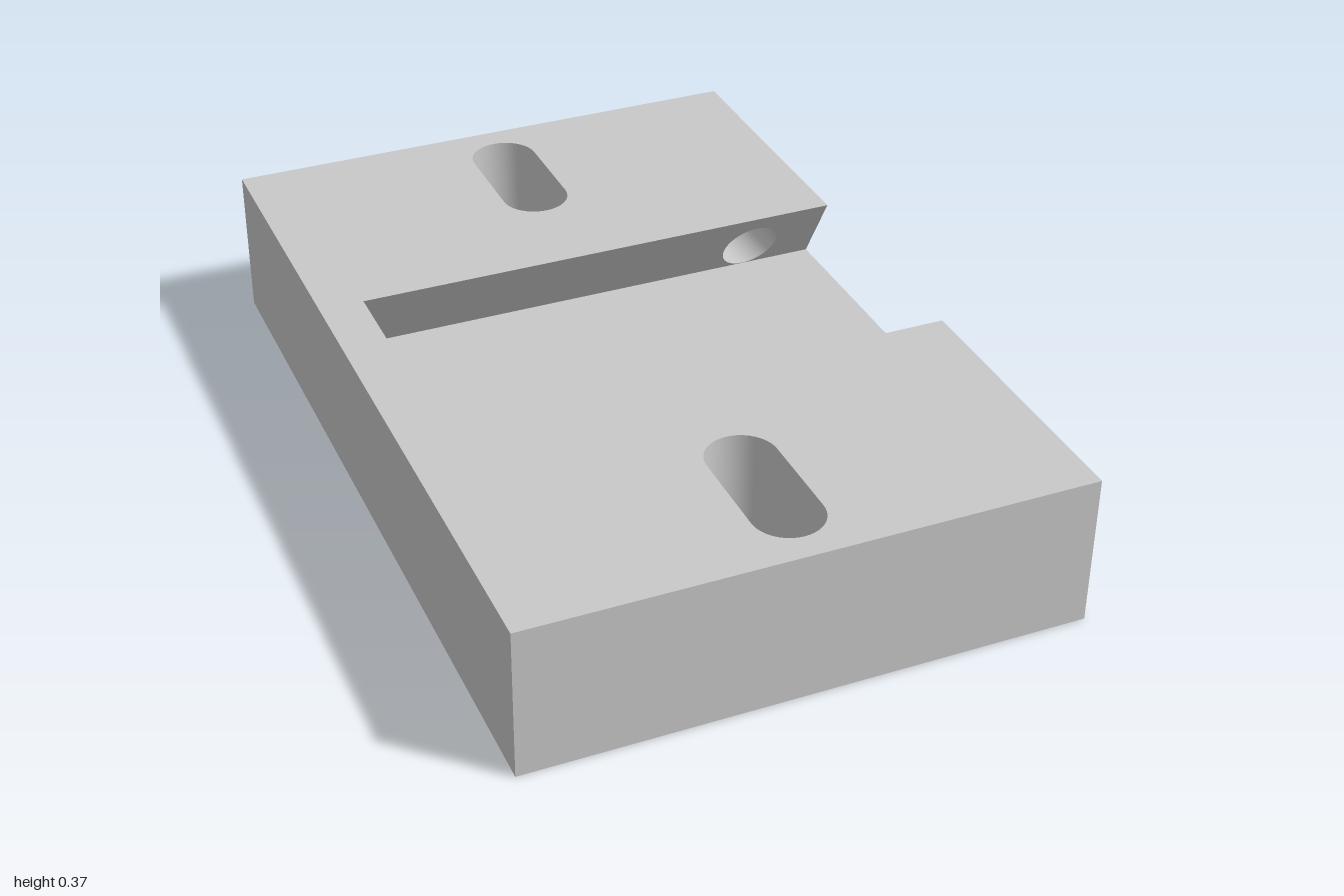
import * as THREE from 'three';

const W = 0.665, H = 0.37, D = 1;              // half width, height, half depth
const FLOOR = 0.185, END = -0.557;             // pocket floor height and closed end
const LIP = 0.30, ROOT = 0.407;                // dovetail half widths at top and floor
const SLOPE = (ROOT - LIP) / (H - FLOOR);
const SLOT_R = 0.083, SLOT_HALF = 0.195;
const SLOTS = [-0.742, 0.74];                  // slot centres along z
const BORE = { x: 0.482, y: 0.258, r: 0.072 };

const V = (x, y, z) => new THREE.Vector3(x, y, z);
const X = V(1, 0, 0), Y = V(0, 1, 0), Z = V(0, 0, 1);
const neg = (v) => v.clone().negate();

// Counter-clockwise outline helpers
const poly = (pts) => pts.map(([a, b]) => new THREE.Vector2(a, b));
const rect = (a0, b0, a1, b1) => poly([[a0, b0], [a1, b0], [a1, b1], [a0, b1]]);

function circle(cx, cy, r, n = 48) {
  return Array.from({ length: n }, (_, i) => {
    const t = (i / n) * Math.PI * 2;
    return new THREE.Vector2(cx + r * Math.cos(t), cy + r * Math.sin(t));
  });
}

function slot(cy) {
  const pts = [], n = 24, c = SLOT_HALF - SLOT_R;
  for (const side of [0, 1]) {
    for (let i = 0; i <= n; i++) {
      const t = (side + i / n) * Math.PI;
      pts.push(new THREE.Vector2(SLOT_R * Math.cos(t), cy + (side ? -c : c) + SLOT_R * Math.sin(t)));
    }
  }
  return pts;
}

// Flat face spanned by u and v, possibly sheared, with holes
function face(outline, origin, u, v, holes = []) {
  const shape = new THREE.Shape(outline);
  shape.holes = holes.map((h) => new THREE.Path(h));
  const n = u.clone().cross(v);
  return new THREE.ShapeGeometry(shape)
    .applyMatrix4(new THREE.Matrix4().makeBasis(u, v, n).setPosition(origin));
}

// Inward-facing wall between the two ends of a hole
function holeWall(outline, nearEnd, farEnd) {
  const pos = [], index = [], n = outline.length;
  for (const p of outline) pos.push(...nearEnd(p), ...farEnd(p));
  for (let i = 0; i < n; i++) {
    const a = 2 * i, b = 2 * ((i + 1) % n);
    index.push(a, b, a + 1, b, b + 1, a + 1);
  }
  const g = new THREE.BufferGeometry();
  g.setAttribute('position', new THREE.Float32BufferAttribute(pos, 3));
  g.setIndex(index);
  g.computeVertexNormals();
  return g;
}

export function createModel() {
  const group = new THREE.Group();
  group.name = 'dovetailBlock';
  const grey = new THREE.MeshStandardMaterial({ color: 0xc8c8c8 });
  grey.name = 'machinedGrey';
  const add = (name, geometry) => {
    const mesh = new THREE.Mesh(geometry, grey);
    mesh.name = name;
    group.add(mesh);
  };

  // Top (open towards +x) and bottom, both pierced by the slots
  const topOutline = poly([[-W, -D], [W, -D], [W, -LIP], [END, -LIP], [END, LIP], [W, LIP], [W, D], [-W, D]]);
  add('top', face(topOutline, V(0, H, 0), X, neg(Z), SLOTS.map((z) => slot(-z))));
  add('bottom', face(rect(-W, -D, W, D), V(0, 0, 0), X, Z, SLOTS.map((z) => slot(z))));

  // Outer sides
  const boreOutline = circle(-BORE.x, BORE.y, BORE.r);
  add('frontSide', face(rect(-W, 0, W, H), V(0, 0, D), X, Y));
  add('backSide', face(rect(-W, 0, W, H), V(0, 0, -D), neg(X), Y, [boreOutline]));
  add('closedSide', face(rect(-D, 0, D, H), V(-W, 0, 0), Z, Y));
  const openOutline = poly([[-D, 0], [D, 0], [D, H], [LIP, H], [ROOT, FLOOR], [-ROOT, FLOOR], [-LIP, H], [-D, H]]);
  add('openSide', face(openOutline, V(W, 0, 0), neg(Z), Y));

  // Dovetail pocket
  const wallZ = (y) => -ROOT + SLOPE * (y - FLOOR);
  add('pocketFloor', face(rect(END, -ROOT, W, ROOT), V(0, FLOOR, 0), X, neg(Z)));
  add('pocketEnd', face(poly([[-ROOT, FLOOR], [ROOT, FLOOR], [LIP, H], [-LIP, H]]), V(END, 0, 0), neg(Z), Y));
  add('pocketBackWall', face(rect(END, FLOOR, W, H), V(0, 0, wallZ(0)), X, V(0, 1, SLOPE),
    [circle(BORE.x, BORE.y, BORE.r)]));
  add('pocketFrontWall', face(rect(-W, FLOOR, -END, H), V(0, 0, -wallZ(0)), neg(X), V(0, 1, -SLOPE)));

  // Mounting slots and the screw bore into the pocket
  for (const z of SLOTS) {
    add('slotWall', holeWall(slot(-z), (p) => [p.x, H, -p.y], (p) => [p.x, 0, -p.y]));
  }
  add('screwBore', holeWall(boreOutline, (p) => [-p.x, p.y, -D], (p) => [-p.x, p.y, wallZ(p.y)]));

  return group;
}
